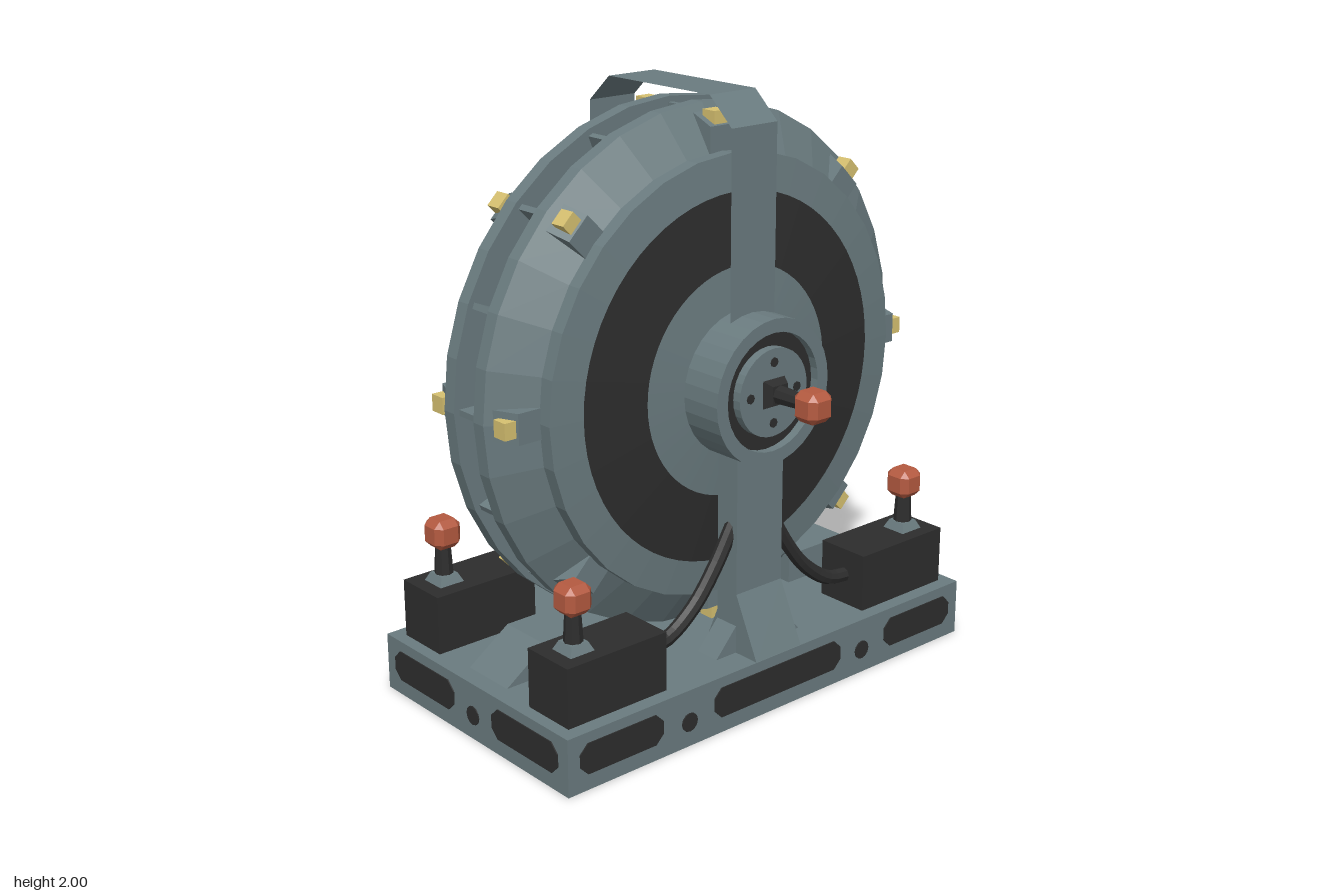
import * as THREE from 'three';
import { ConvexGeometry } from 'three/addons/geometries/ConvexGeometry.js';

const mat = (name, color, side = THREE.FrontSide) =>
  new THREE.MeshStandardMaterial({ name, color, side, flatShading: true });

export function createModel() {
  const steel = mat('steel grey', 0x6a7b7f);
  const sheet = mat('sheet grey', 0x6a7b7f, THREE.DoubleSide);
  const dark = mat('charcoal', 0x2d2d2d);
  const red = mat('knob red', 0xb45a40);
  const gold = mat('lamp gold', 0xd6c070);
  const HUB = 1.08;
  const model = new THREE.Group();
  model.name = 'flywheelMachine';

  const add = (parent, name, geo, material, x = 0, y = 0, z = 0) => {
    const m = new THREE.Mesh(geo, material);
    m.name = name;
    m.position.set(x, y, z);
    parent.add(m);
    return m;
  };
  const group = (parent, name) => {
    const g = new THREE.Group();
    g.name = name;
    parent.add(g);
    return g;
  };
  const box = (w, h, d) => new THREE.BoxGeometry(w, h, d);
  // outline in x-y, extruded along z and centred
  const prism = (pts, depth) => new THREE.ExtrudeGeometry(
    new THREE.Shape(pts.map(p => new THREE.Vector2(...p))),
    { depth, bevelEnabled: false }).translate(0, 0, -depth / 2);
  // [x, radius] profile turned about the x axis
  const turned = (pts, seg = 32) => new THREE.LatheGeometry(
    pts.map(([x, r]) => new THREE.Vector2(r, x)), seg).rotateZ(-Math.PI / 2);

  // Chamfered cube for the knobs
  const a = 0.05, b = 0.028, corners = [];
  for (const i of [-1, 1]) for (const j of [-1, 1]) for (const k of [-1, 1]) {
    corners.push(new THREE.Vector3(i * a, j * b, k * b),
      new THREE.Vector3(i * b, j * a, k * b), new THREE.Vector3(i * b, j * b, k * a));
  }
  const ballGeo = new ConvexGeometry(corners);
  const knob = (parent, name, padMat) => {
    const g = group(parent, name);
    add(g, 'pad', new THREE.CylinderGeometry(0.045, 0.065, 0.03, 4).rotateY(Math.PI / 4), padMat, 0, 0.015, 0);
    add(g, 'stem', new THREE.CylinderGeometry(0.025, 0.032, 0.12, 8), dark, 0, 0.085, 0);
    add(g, 'ball', ballGeo, red, 0, 0.173, 0);
    return g;
  };

  // Base with recessed-looking dark panels and round ports
  const base = group(model, 'base');
  add(base, 'plinth', box(0.97, 0.195, 1.75), steel, 0, 0.0975, 0);
  const panel = (w) => {
    const x = w / 2, y = 0.052, c = 0.03;
    return prism([[-x + c, -y], [x - c, -y], [x, -y + c], [x, y - c],
      [x - c, y], [-x + c, y], [-x, y - c], [-x, -y + c]], 0.006);
  };
  const port = () => new THREE.CylinderGeometry(0.032, 0.032, 0.006, 12).rotateX(Math.PI / 2);
  for (let i = 0; i < 4; i++) {
    const long = i % 2 === 1;
    const face = group(base, 'basePanels');
    face.rotation.y = i * Math.PI / 2;
    const d = long ? 0.486 : 0.876;
    const panels = long ? [[-0.665, 0.33], [0, 0.57], [0.665, 0.33]] : [[-0.27, 0.335], [0.27, 0.335]];
    for (const [x, w] of panels) add(face, 'panel', panel(w), dark, x, 0.107, d);
    for (const x of long ? [-0.39, 0.39] : [0]) add(face, 'port', port(), dark, x, 0.085, d);
  }

  // Saddles under the wheel at both ends
  for (const s of [0, Math.PI]) {
    const g = group(model, 'saddle');
    g.rotation.y = s;
    add(g, 'saddleBlock', prism([[-0.82, 0.19], [-0.42, 0.19], [-0.42, 0.3], [-0.66, 0.3]], 0.2)
      .rotateY(Math.PI / 2), steel);
  }

  // Wheel core and rungs across the groove
  const wheel = group(model, 'wheel');
  wheel.position.y = HUB;
  add(wheel, 'grooveFloor', turned([[-0.06, 0.78], [0.06, 0.78]]), dark);
  for (let i = 0; i < 16; i++) {
    const r = group(wheel, 'rungArm');
    r.rotation.x = i * Math.PI / 8;
    add(r, 'rung', box(0.11, 0.07, 0.02), steel, 0, 0.815, 0);
  }

  // Everything that repeats on the two sides
  for (const turn of [0, Math.PI]) {
    const side = group(model, turn ? 'rightSide' : 'leftSide');
    side.rotation.y = turn;
    const half = group(side, 'wheelHalf');
    half.position.y = HUB;

    add(half, 'rim', turned([[0.05, 0.77], [0.05, 0.87], [0.1, 0.87], [0.19, 0.73],
      [0.24, 0.73], [0.253, 0.61]]), steel);
    add(half, 'darkRing', turned([[0.253, 0.61], [0.278, 0.38]], 64), dark);
    add(half, 'innerDisc', turned([[0.278, 0.38], [0.29, 0.23]], 64), steel);
    add(half, 'hub', turned([[0.26, 0.24], [0.44, 0.24], [0.44, 0.195], [0.41, 0.195]]), steel);
    add(half, 'hubGroove', turned([[0.41, 0.195], [0.41, 0.14]]), dark);
    add(half, 'hubCap', turned([[0.405, 0.145], [0.44, 0.145], [0.44, 0]]), steel);
    for (let i = 0; i < 4; i++) {
      const t = i * Math.PI / 2;
      add(half, 'boltHole', new THREE.CylinderGeometry(0.016, 0.016, 0.006, 8).rotateZ(Math.PI / 2),
        dark, 0.44, Math.cos(t) * 0.1, Math.sin(t) * 0.1);
    }
    const axle = knob(half, 'axleKnob', dark);
    axle.position.x = 0.44;
    axle.rotation.z = -Math.PI / 2;

    // Lamps around the rim
    for (let i = 0; i < 8; i++) {
      const lamp = group(half, 'rimLamp');
      lamp.rotation.x = i * Math.PI / 4;
      add(lamp, 'lampHousing', prism([[0.1, 0.7], [0.195, 0.7], [0.195, 0.81], [0.1, 0.85]], 0.1), steel);
      add(lamp, 'lampGlass', box(0.055, 0.05, 0.055), gold, 0.16, 0.83, 0);
    }

    // Support column with flared foot
    add(side, 'column', prism([[0.24, 0.19], [0.485, 0.19], [0.385, 0.4], [0.385, 1.0],
      [0.295, 1.0], [0.295, 0.32]], 0.2), steel);
    add(side, 'columnFoot', prism([[-0.19, 0.19], [0.19, 0.19], [0.09, 0.3], [-0.09, 0.3]], 0.09)
      .rotateY(Math.PI / 2), steel, 0.34, 0, 0);

    // Power boxes, their knobs and hoses
    for (const s of [-1, 1]) {
      add(side, 'powerBox', box(0.195, 0.2, 0.39), dark, 0.338, 0.295, s * 0.637);
      knob(side, 'boxKnob', steel).position.set(0.342, 0.395, s * 0.735);
      const path = new THREE.CatmullRomCurve3([[0.46, 0.3], [0.36, 0.315], [0.25, 0.39], [0.16, 0.5], [0.08, 0.63]]
        .map(([z, y]) => new THREE.Vector3(0.345, y, s * z)));
      add(side, 'hose', new THREE.TubeGeometry(path, 16, 0.025, 8), dark);
    }
  }

  // Thin strap over the top of the wheel
  const strap = [[0.34, 1.25], [0.34, 1.91], [0.24, 2], [-0.24, 2], [-0.34, 1.91], [-0.34, 1.25]];
  const pos = [], idx = [];
  strap.forEach(([x, y], i) => {
    pos.push(x, y, 0.095, x, y, -0.095);
    const k = i * 2;
    if (i < strap.length - 1) idx.push(k, k + 1, k + 2, k + 1, k + 3, k + 2);
  });
  const strapGeo = new THREE.BufferGeometry();
  strapGeo.setAttribute('position', new THREE.Float32BufferAttribute(pos, 3));
  strapGeo.setIndex(idx);
  strapGeo.computeVertexNormals();
  add(model, 'overheadStrap', strapGeo, sheet);

  return model;
}
